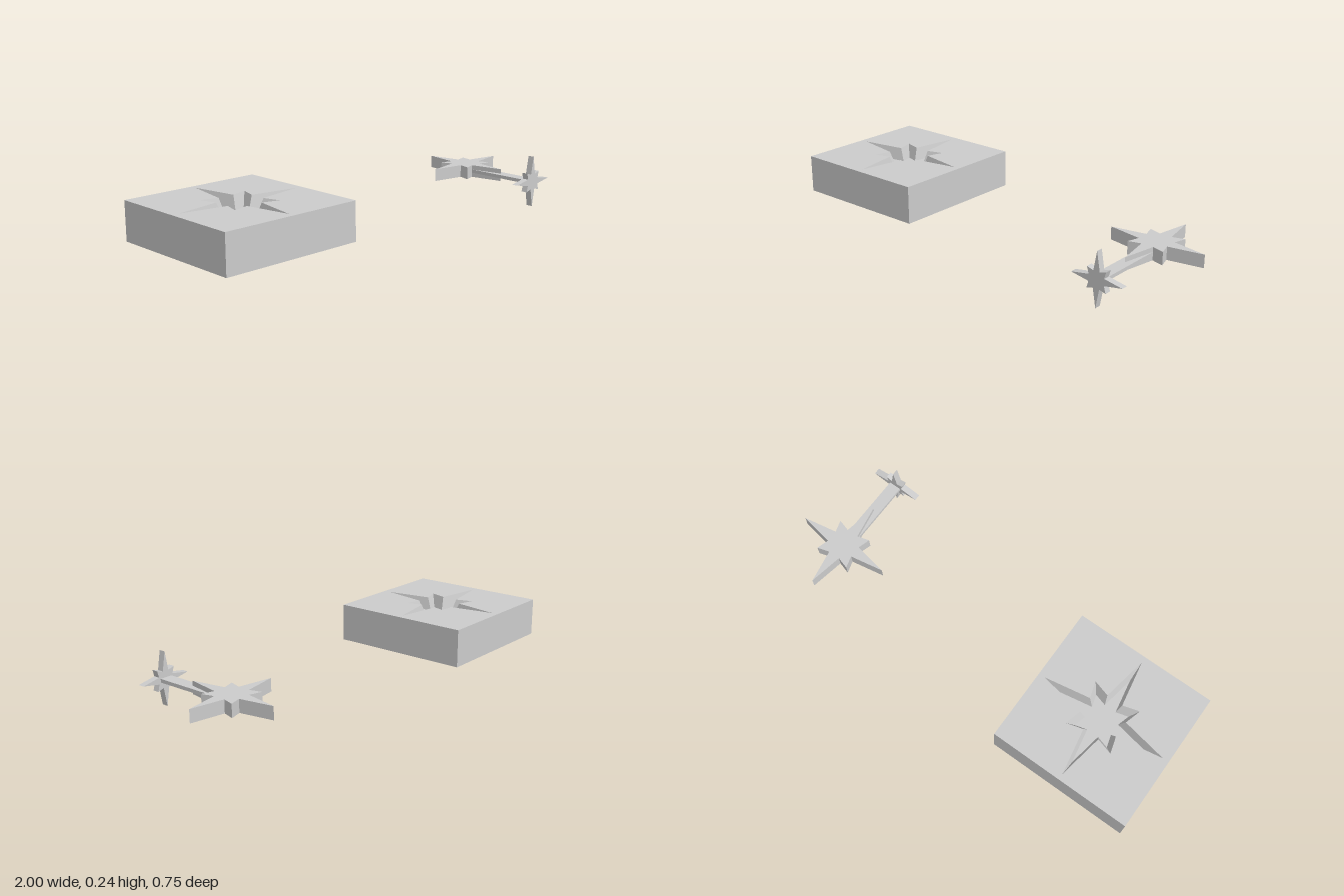
import * as THREE from 'three';

const material = new THREE.MeshStandardMaterial({ color: 0xcccccc, flatShading: true });

// Eight-pointed star: long points on the axes, short points on the diagonals.
function starPoints(scale) {
  const points = [];
  for (let i = 0; i < 16; i++) {
    const radius = i % 2 ? 0.074 : i % 4 ? 0.12 : 0.226;
    const angle = (i * Math.PI) / 8;
    points.push(new THREE.Vector2(Math.cos(angle), Math.sin(angle)).multiplyScalar(radius * scale));
  }
  return points;
}

function addMesh(parent, name, geometry, x = 0, y = 0, z = 0) {
  const mesh = new THREE.Mesh(geometry, material);
  mesh.name = name;
  mesh.position.set(x, y, z);
  parent.add(mesh);
  return mesh;
}

function starPrism(scale, depth) {
  const geometry = new THREE.ExtrudeGeometry(new THREE.Shape(starPoints(scale)), { depth, bevelEnabled: false });
  return geometry.translate(0, 0, -depth / 2);
}

// Sloping walls between the star rim and the smaller star floor, facing inward.
function pocketWalls(rim, floor, depth) {
  const positions = [];
  rim.forEach((a, i) => {
    const j = (i + 1) % rim.length;
    const b = rim[j], c = floor[j], d = floor[i];
    positions.push(a.x, a.y, 0, b.x, b.y, 0, c.x, c.y, -depth);
    positions.push(a.x, a.y, 0, c.x, c.y, -depth, d.x, d.y, -depth);
  });
  const geometry = new THREE.BufferGeometry();
  geometry.setAttribute('position', new THREE.Float32BufferAttribute(positions, 3));
  geometry.computeVertexNormals();
  return geometry;
}

function createBlock() {
  const block = new THREE.Group();
  block.name = 'lockBlock';
  const width = 0.67, height = 0.177, half = width / 2, depth = 0.06;
  const rim = starPoints(1.355), floor = starPoints(1);

  // Sides and underside: a box without its top face.
  const body = new THREE.BoxGeometry(width, height, width);
  const index = Array.from(body.index.array);
  index.splice(12, 6);
  body.setIndex(index);
  body.clearGroups();
  addMesh(block, 'blockBody', body, 0, -height / 2, 0);

  // Top face with the star opening.
  const top = new THREE.Shape([
    new THREE.Vector2(-half, -half), new THREE.Vector2(half, -half),
    new THREE.Vector2(half, half), new THREE.Vector2(-half, half),
  ]);
  top.holes.push(new THREE.Path(rim));
  addMesh(block, 'blockTop', new THREE.ShapeGeometry(top).rotateX(-Math.PI / 2));

  // Star-shaped keyhole.
  addMesh(block, 'keyholeWalls', pocketWalls(rim, floor, depth).rotateX(-Math.PI / 2));
  addMesh(block, 'keyholeFloor', new THREE.ShapeGeometry(new THREE.Shape(floor)).rotateX(-Math.PI / 2), 0, -depth, 0);

  block.position.set(-0.665, 0.212, -0.041);
  return block;
}

function createKey() {
  const key = new THREE.Group();
  key.name = 'starKey';
  // Large flat star, connecting bar and small upright star.
  addMesh(key, 'keyStar', starPrism(1, 0.059).rotateX(-Math.PI / 2), 0, 0, -0.041);
  addMesh(key, 'keyShaft', new THREE.BoxGeometry(0.058, 0.016, 0.39), 0, 0, 0.155);
  addMesh(key, 'handleStar', starPrism(0.535, 0.03), 0, 0, 0.362);
  key.position.set(0.772, 0.122, 0);
  return key;
}

export function createModel() {
  const model = new THREE.Group();
  model.name = 'starKeyAndBlock';
  model.add(createBlock(), createKey());
  return model;
}
